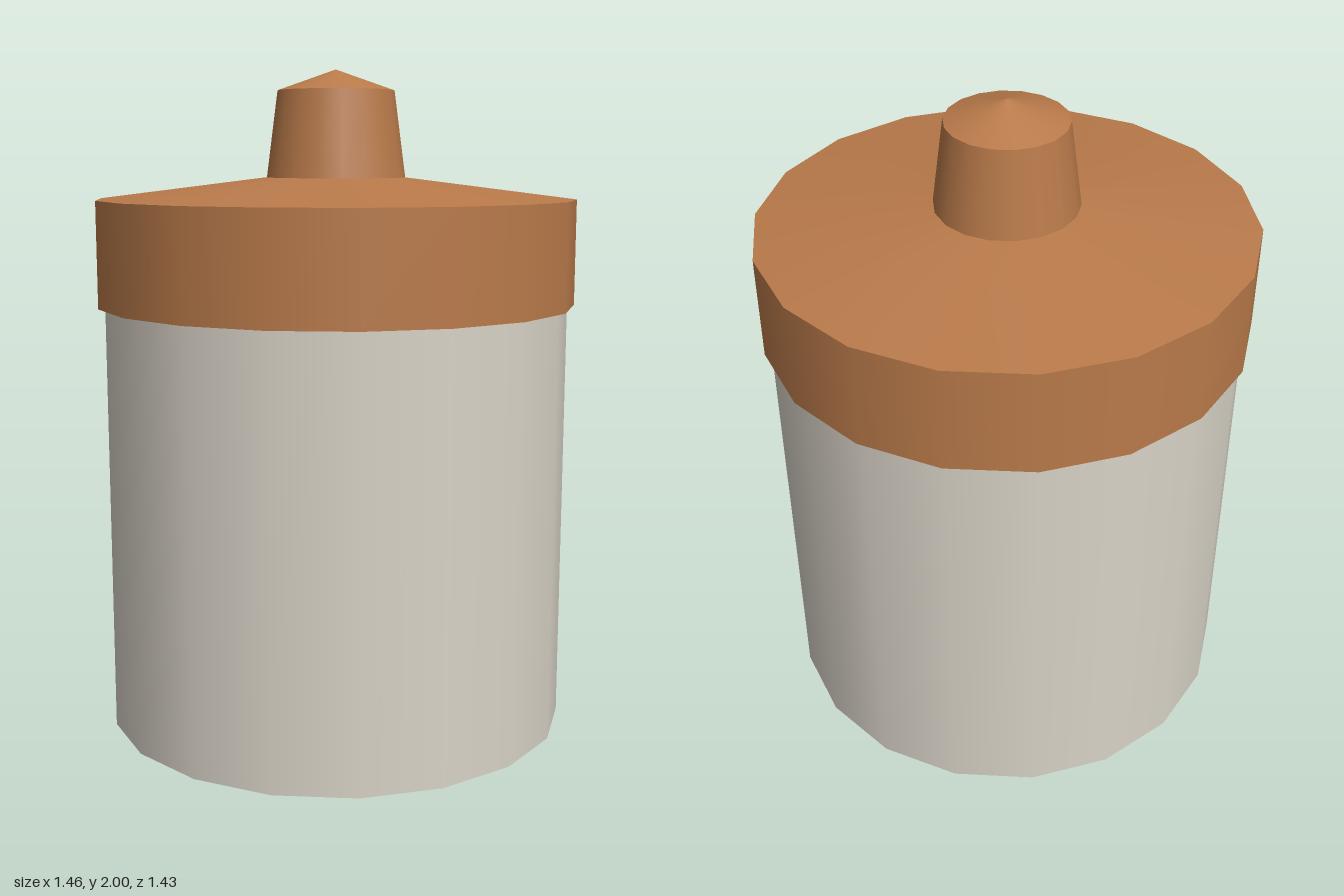
import * as THREE from 'three';

const SIDES = 18;

export function createModel() {
  const model = new THREE.Group();
  model.name = 'lidded jar';

  const ceramic = new THREE.MeshStandardMaterial({ color: 0xd9d3c7 });
  ceramic.name = 'pale ceramic';
  const wood = new THREE.MeshStandardMaterial({ color: 0xb97a4a });
  wood.name = 'warm wood';

  // One round section from height y0 to y1, with a corner on the +x axis
  function section(name, material, rBottom, rTop, y0, y1, open = false) {
    const geometry = new THREE.CylinderGeometry(rTop, rBottom, y1 - y0, SIDES, 1, open, Math.PI / 2);
    geometry.translate(0, (y0 + y1) / 2, 0);
    const mesh = new THREE.Mesh(geometry, material);
    mesh.name = name;
    return mesh;
  }

  // Jar body
  model.add(section('body', ceramic, 0.707, 0.707, 0, 1.31));

  // Lid: straight rim, shallow sloping top, tapered knob with a pointed cap
  const lid = new THREE.Group();
  lid.name = 'lid';
  lid.add(
    section('lidRim', wood, 0.728, 0.728, 1.297, 1.615),
    section('lidSlope', wood, 0.728, 0.211, 1.615, 1.68, true),
    section('knob', wood, 0.211, 0.177, 1.68, 1.938, true),
    section('knobCap', wood, 0.177, 0, 1.938, 2, true),
  );
  model.add(lid);

  return model;
}
